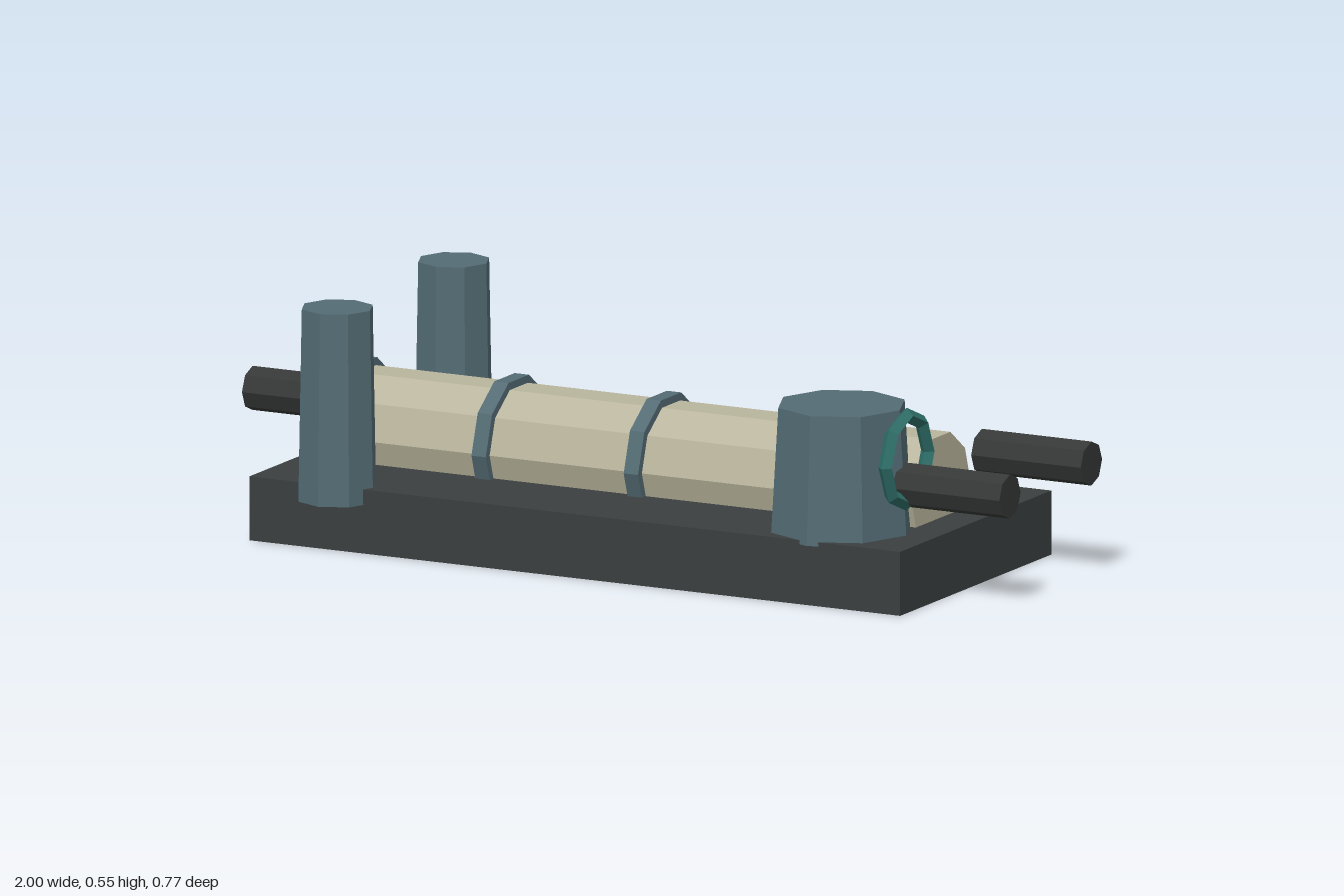
import * as THREE from 'three';

const mat = (color) => new THREE.MeshStandardMaterial({ color, flatShading: true });

export function createModel() {
  const model = new THREE.Group();
  const slate = mat(0x546c74), dark = mat(0x3a3f3f), pipe = mat(0x353836);
  const cream = mat(0xb9b59d), teal = mat(0x2f6f69);

  const add = (name, geometry, material, x, y, z) => {
    const mesh = new THREE.Mesh(geometry, material);
    mesh.name = name;
    mesh.position.set(x, y, z);
    model.add(mesh);
    return mesh;
  };

  // Faceted cylinder lying along x, from x0 to x1
  const addLying = (name, r, x0, x1, y, z, sides, material) => {
    const g = new THREE.CylinderGeometry(r, r, x1 - x0, sides).rotateZ(Math.PI / 2);
    return add(name, g, material, (x0 + x1) / 2, y, z);
  };

  // Tapered octagonal post from y0 to y1
  const addPost = (name, rTop, rBottom, y0, y1, x, z) =>
    add(name, new THREE.CylinderGeometry(rTop, rBottom, y1 - y0, 8), slate, x, (y0 + y1) / 2, z);

  // Base slab
  add('base', new THREE.BoxGeometry(1.632, 0.145, 0.709), dark, 0, 0.0725, -0.0325);

  // Main vessel with its bands
  addLying('vessel', 0.137, -0.73, 0.73, 0.2, -0.032, 10, cream);
  for (const x of [-0.729, -0.348, 0.034])
    addLying('band', 0.155, x - 0.018, x + 0.018, 0.2, -0.032, 10, slate);

  // Upright tanks
  addPost('frontPost', 0.082, 0.09, 0.11, 0.545, -0.61, 0.296);
  addPost('backPost', 0.082, 0.09, 0.11, 0.545, -0.61, -0.25);
  addPost('wideTank', 0.146, 0.163, 0.136, 0.427, 0.587, 0.169);

  // Pipes leaving both ends
  addLying('leftEndPipe', 0.05, 0.725, 1, 0.256, 0.151, 8, pipe);
  addLying('leftEndBackPipe', 0.05, 0.725, 1, 0.256, -0.231, 8, pipe);
  addLying('rightEndPipe', 0.05, -1, -0.725, 0.256, -0.036, 8, pipe);

  // Valve handwheel on the wide tank
  add('handwheel', new THREE.TorusGeometry(0.1, 0.017, 4, 8).rotateY(Math.PI / 2), teal, 0.75, 0.318, 0.169);

  return model;
}
